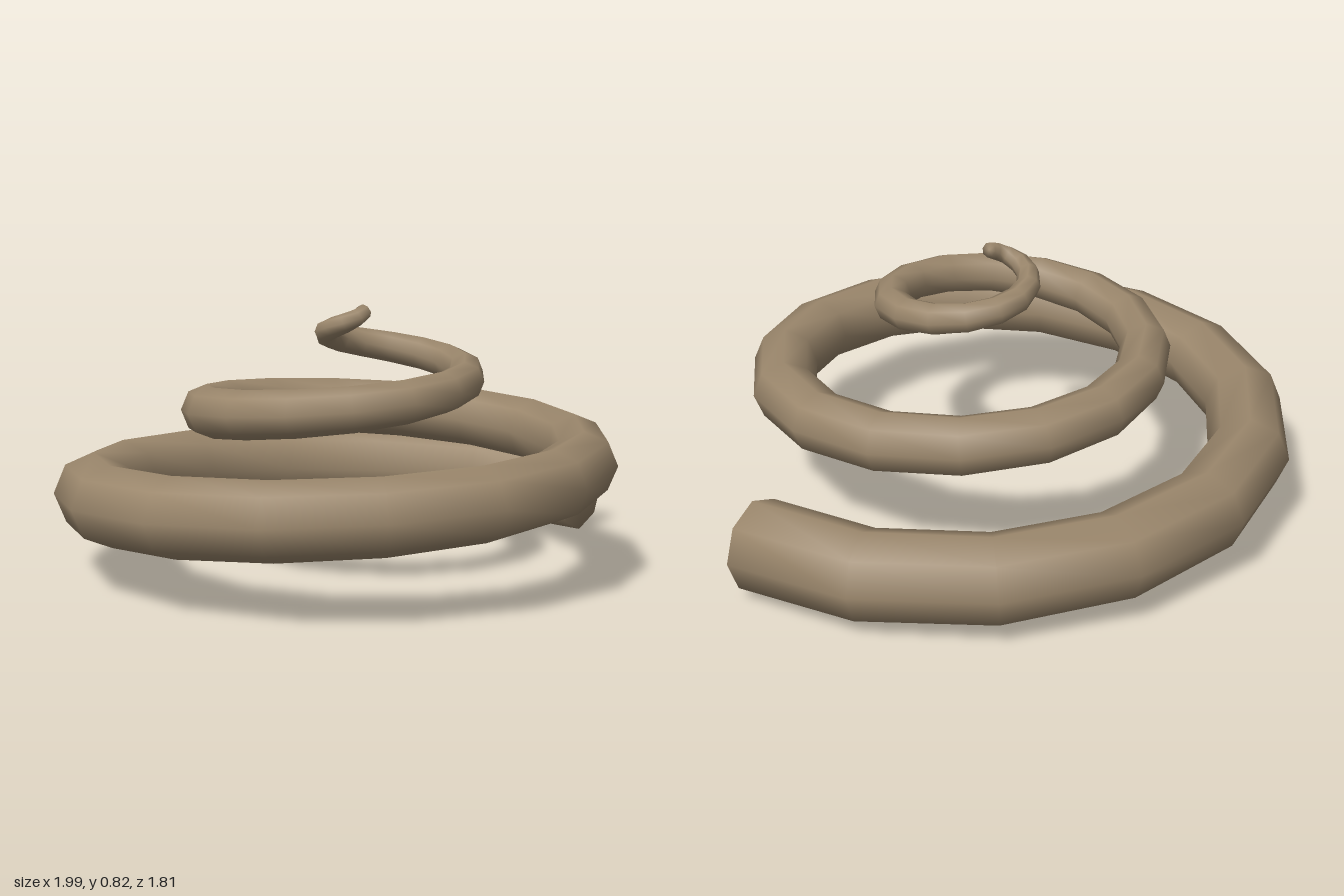
import * as THREE from 'three';

const STEPS = 40;   // segments along the coil
const SIDES = 8;    // sides of the tube
const TURNS = 2.6;

// Centre line: a spiral that winds inward while rising
function spiralPoint(t) {
  const angle = t * TURNS * Math.PI * 2;
  const r = 0.96 * Math.pow(1 - t, 0.89);
  return new THREE.Vector3(
    -0.105 + r * Math.cos(angle),
    0.145 + 0.657 * t,
    0.09 - r * Math.sin(angle)
  );
}

// Tapered tube with closed ends and shared, smooth normals
function coilGeometry() {
  const points = [];
  for (let i = 0; i <= STEPS; i++) points.push(spiralPoint(i / STEPS));

  const up = new THREE.Vector3(0, 1, 0);
  const positions = [];
  const index = [];
  points.forEach((p, i) => {
    const before = points[Math.max(i - 1, 0)];
    const after = points[Math.min(i + 1, STEPS)];
    const tangent = after.clone().sub(before).normalize();
    const side = tangent.clone().cross(up).normalize();
    const top = side.clone().cross(tangent);
    const radius = THREE.MathUtils.lerp(0.142, 0.024, i / STEPS);
    for (let j = 0; j < SIDES; j++) {
      const a = (j / SIDES) * Math.PI * 2;
      const v = p.clone()
        .addScaledVector(side, radius * Math.cos(a))
        .addScaledVector(top, radius * Math.sin(a));
      positions.push(v.x, v.y, v.z);
    }
  });

  // Walls between neighbouring rings
  for (let i = 0; i < STEPS; i++) {
    for (let j = 0; j < SIDES; j++) {
      const k = (j + 1) % SIDES;
      const a = i * SIDES + j, b = i * SIDES + k;
      const c = a + SIDES, d = b + SIDES;
      index.push(a, c, b, b, c, d);
    }
  }

  // End caps
  const startCentre = (STEPS + 1) * SIDES;
  const endCentre = startCentre + 1;
  const lastRing = STEPS * SIDES;
  positions.push(...points[0].toArray(), ...points[STEPS].toArray());
  for (let j = 0; j < SIDES; j++) {
    const k = (j + 1) % SIDES;
    index.push(startCentre, j, k);
    index.push(endCentre, lastRing + k, lastRing + j);
  }

  const geometry = new THREE.BufferGeometry();
  geometry.setAttribute('position', new THREE.Float32BufferAttribute(positions, 3));
  geometry.setIndex(index);
  geometry.computeVertexNormals();
  return geometry;
}

export function createModel() {
  const group = new THREE.Group();
  group.name = 'spiralCoil';

  const tan = new THREE.MeshStandardMaterial({ color: 0x9b876c });
  tan.name = 'tan';

  const coil = new THREE.Mesh(coilGeometry(), tan);
  coil.name = 'taperedCoil';
  group.add(coil);
  return group;
}
